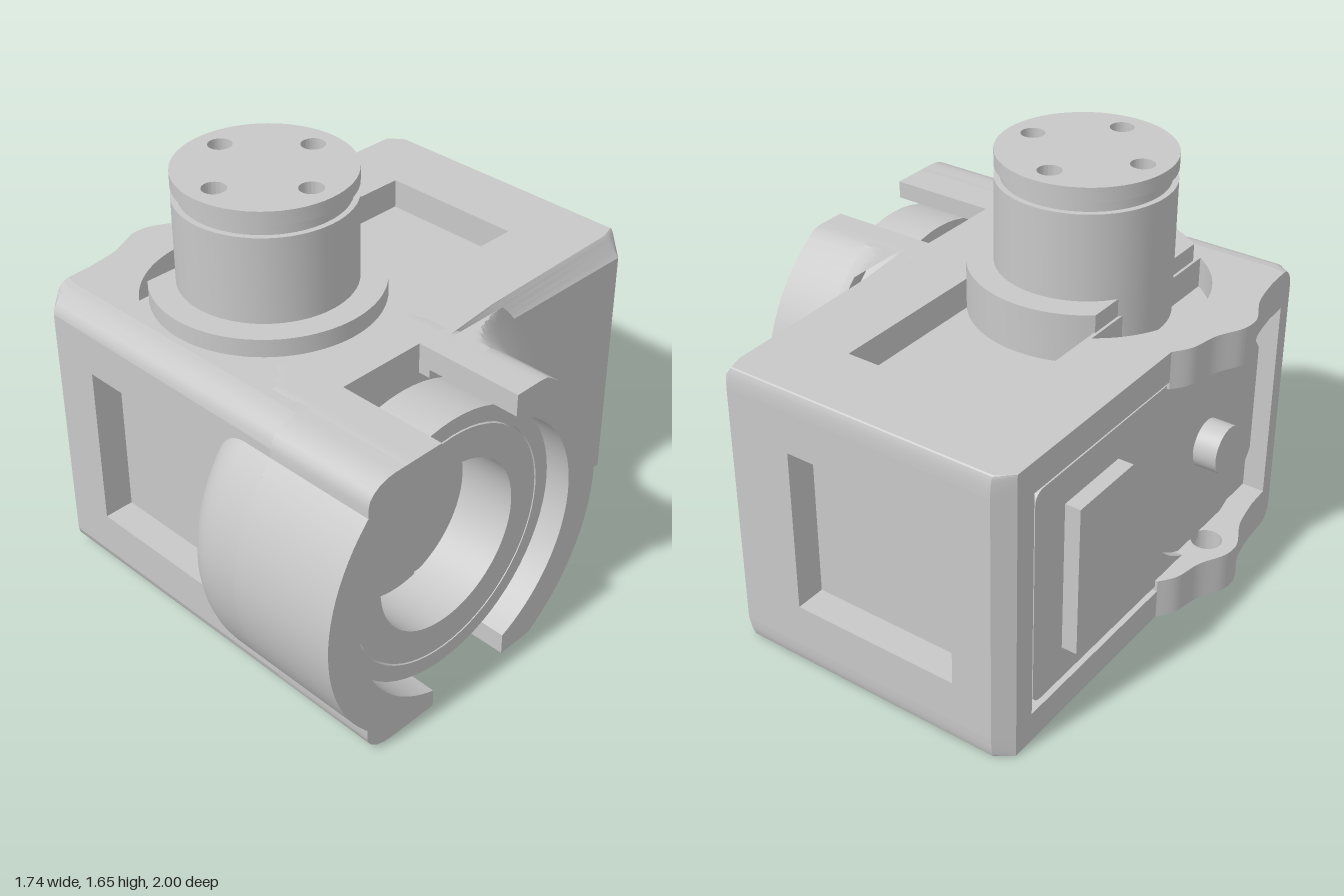
import * as THREE from 'three';
import { toCreasedNormals } from 'three/addons/utils/BufferGeometryUtils.js';

const H = 1.15, MID = 0.575;          // housing height and its middle
const AZ = 0.325, R = 0.675;          // barrel axis z and outer radius
const TX = -0.19, TZ = 0.25;          // tower centre

export function createModel() {
  const model = new THREE.Group();
  const grey = new THREE.MeshStandardMaterial({ color: 0xc8c8c8, side: THREE.DoubleSide });
  grey.name = 'plain grey';

  const add = (name, geo) => {
    const mesh = new THREE.Mesh(toCreasedNormals(geo, 0.5), grey);
    mesh.name = name;
    model.add(mesh);
  };
  const poly = (pts) => new THREE.Shape(pts.map(([a, b]) => new THREE.Vector2(a, b)));
  const rect = (a0, a1, b0, b1) => poly([[a0, b0], [a1, b0], [a1, b1], [a0, b1]]);
  const circle = (a, b, r) => new THREE.Shape().absarc(a, b, r, 0, Math.PI * 2);
  const cut = (shape, ...holes) => { shape.holes.push(...holes); return shape; };
  const extrude = (shape, depth) =>
    new THREE.ExtrudeGeometry(shape, { depth, bevelEnabled: false, curveSegments: 32 });
  // Prisms along y from an (x, z) shape, along x from a (z, y) shape, along z from an (x, y) shape
  const alongY = (s, y0, y1) => extrude(s, y1 - y0).rotateX(Math.PI / 2).translate(0, y1, 0);
  const alongX = (s, x0, x1) => extrude(s, x1 - x0).rotateY(-Math.PI / 2).translate(x1, 0, 0);
  const alongZ = (s, z0, z1) => extrude(s, z1 - z0).translate(0, 0, z0);
  const clampY = (geo) => {
    const p = geo.attributes.position;
    for (let i = 0; i < p.count; i++) {
      p.setY(i, THREE.MathUtils.clamp(p.getY(i), -MID, MID));
    }
    return geo.translate(0, MID, AZ);
  };

  // Core, whose faces form the floors of the pockets
  add('housingCore', new THREE.BoxGeometry(1.12, 0.91, 1.58).translate(-0.13, MID, -0.09));

  // Walls with rectangular pockets
  add('frontWall', alongZ(cut(rect(-0.72, 0.43, 0.08, 1.07), rect(-0.52, 0.14, 0.25, 0.905)), 0.70, 0.82));
  add('backWall', alongZ(cut(rect(-0.68, 0.42, 0.08, 1.07), rect(-0.52, 0.16, 0.25, 0.905)), -1, -0.88));
  add('rightWall', alongX(rect(-0.94, -0.2, 0.08, 1.07), 0.43, 0.48));
  add('leftRim', alongX(poly([[-0.94, 0.08], [-0.04, 0.08], [-0.04, 0.12], [-0.85, 0.12],
    [-0.85, 1.03], [-0.04, 1.03], [-0.04, 1.07], [-0.94, 1.07]]), -0.74, -0.69));

  // Chamfered corner posts
  add('frontCornerPost', alongY(poly([[-0.78, 0.70], [-0.78, 0.76], [-0.72, 0.82], [-0.69, 0.82], [-0.69, 0.70]]), 0.08, 1.07));
  add('backCornerPost', alongY(poly([[-0.74, -0.94], [-0.68, -1], [-0.68, -0.88], [-0.74, -0.88]]), 0.08, 1.07));
  add('backCornerPost', alongY(poly([[0.48, -0.94], [0.42, -1], [0.42, -0.88], [0.48, -0.88]]), 0.08, 1.07));

  // Edge bands between walls and plates: rounded at the front, chamfered on the right
  const outer = [[-0.78, 0.70], [-0.78, 0.76], [-0.72, 0.82], [0.43, 0.82], [0.43, 0.12], [0.48, 0.12],
    [0.48, -0.25], [0.48, -0.94], [0.42, -1], [-0.68, -1], [-0.74, -0.94], [-0.74, -0.04], [-0.69, -0.04], [-0.69, 0.70]];
  const inner = [[-0.78, 0.69], [-0.78, 0.70], [-0.72, 0.71], [0.43, 0.70], [0.43, 0.12], [0.48, 0.12],
    [0.44, -0.25], [0.42, -0.92], [0.40, -0.985], [-0.68, -0.985], [-0.74, -0.94], [-0.74, -0.04], [-0.69, -0.04], [-0.69, 0.69]];
  const edgeBand = (top) => {
    const n = outer.length, steps = 5, pos = [], idx = [];
    for (let k = 0; k <= steps; k++) {
      const a = (k / steps) * Math.PI / 2, up = 1.07 + 0.08 * Math.sin(a);
      outer.forEach(([x, z], i) => pos.push(
        x + (inner[i][0] - x) * Math.sin(a), top ? up : H - up, z + (inner[i][1] - z) * (1 - Math.cos(a))));
    }
    for (let k = 0; k < steps; k++) {
      for (let i = 0; i < n; i++) {
        const a = k * n + i, b = k * n + (i + 1) % n, c = a + n, d = b + n;
        if (top) idx.push(a, b, d, a, d, c);
        else idx.push(a, d, b, a, c, d);
      }
    }
    const geo = new THREE.BufferGeometry();
    geo.setAttribute('position', new THREE.Float32BufferAttribute(pos, 3));
    geo.setIndex(idx);
    return geo;
  };
  add('topEdge', edgeBand(true));
  add('bottomEdge', edgeBand(false));

  // Top plate with a pocket and a crescent opening beside the tower; bottom plate with a long pocket
  const crescent = new THREE.Shape().absarc(-0.215, TZ, 0.45, 2.175, Math.PI * 2 - 2.175);
  add('topPlate', alongY(cut(poly(inner), rect(-0.455, 0.14, -0.69, 0), crescent), 1.03, H));
  add('bottomPlate', alongY(cut(poly(inner), rect(-0.455, 0.14, -0.69, 0.43)), 0, 0.12));

  // Side ears, the lower one drilled
  const ear = () => {
    const s = new THREE.Shape();
    s.moveTo(-0.69, -0.04);
    s.lineTo(-0.74, -0.04);
    s.splineThru([[-0.785, 0.03], [-0.81, 0.14], [-0.86, 0.24], [-0.87, 0.30], [-0.86, 0.35],
      [-0.81, 0.46], [-0.785, 0.60]].map(([x, z]) => new THREE.Vector2(x, z)));
    s.lineTo(-0.78, 0.70);
    s.lineTo(-0.69, 0.70);
    return s;
  };
  add('upperEar', alongY(ear(), 1.0, H));
  add('lowerEar', alongY(cut(ear(), circle(-0.757, 0.29, 0.06)), 0, 0.165));

  // Left face fittings: raised cover ending at the round disc, plate and pin
  const cover = new THREE.Shape();
  cover.moveTo(-0.78, 0.14);
  cover.absarc(AZ, MID, 0.445, Math.PI * 1.44, Math.PI * 0.56, true);
  cover.lineTo(-0.78, 1.01);
  cover.quadraticCurveTo(-0.83, 1.01, -0.83, 0.96);
  cover.lineTo(-0.83, 0.19);
  cover.quadraticCurveTo(-0.83, 0.14, -0.78, 0.14);
  add('sideCover', alongX(cover, -0.73, -0.69));
  add('sidePlate', new THREE.BoxGeometry(0.08, 0.6, 0.32).translate(-0.75, MID, -0.5));
  add('sideDisc', alongX(circle(AZ, MID, 0.44), -0.705, -0.69));
  add('sidePin', alongX(circle(AZ, MID, 0.095), -0.80, -0.69));

  // Barrel root with a rounded end, flattened at top and bottom
  const rootProfile = [new THREE.Vector2(0, 0.14)];
  for (let i = 0; i <= 8; i++) {
    const a = (i / 8) * Math.PI / 2;
    rootProfile.push(new THREE.Vector2(R - 0.16 + 0.16 * Math.sin(a), 0.30 - 0.16 * Math.cos(a)));
  }
  rootProfile.push(new THREE.Vector2(R, 0.43), new THREE.Vector2(0, 0.43));
  add('barrelRoot', clampY(new THREE.LatheGeometry(rootProfile, 96).rotateZ(-Math.PI / 2)));

  // Two shell halves separated by the top and bottom slots
  const shellHalf = (dir, gap) => {
    const pts = [], n = 40;
    const arc = (r, from, to) => {
      const end = Math.acos(gap / r);
      for (let i = 0; i <= n; i++) {
        const a = end * (from + (to - from) * i / n);
        pts.push([AZ + dir * r * Math.cos(a), MID + THREE.MathUtils.clamp(r * Math.sin(a), -MID, MID)]);
      }
    };
    arc(R, -1, 1);
    arc(0.53, 1, -1);
    return alongX(poly(pts), 0.43, 0.87);
  };
  add('frontShell', shellHalf(1, 0.165));
  add('rearShell', shellHalf(-1, 0.205));

  // Rounded housing edges carried along the barrel to its open end
  for (const s of [1, -1]) {
    const pts = [[0.60, MID + s * 0.54], [0.79, MID + s * 0.44], [0.82, MID + s * 0.44]];
    for (let i = 0; i <= 5; i++) {
      const a = (i / 5) * Math.PI / 2;
      pts.push([0.70 + 0.12 * Math.cos(a), MID + s * (0.495 + 0.08 * Math.sin(a))]);
    }
    pts.push([0.60, MID + s * MID]);
    add('barrelEdge', alongX(poly(pts), 0.43, 0.87));
  }

  // Concave fairing from the rear body into the barrel
  const flare = [];
  for (let i = 0; i <= 10; i++) {
    const a = (i / 10) * Math.PI / 2;
    flare.push(new THREE.Vector2(0.82 - 0.145 * Math.sin(a), 0.62 - 0.14 * Math.cos(a)));
  }
  add('barrelFairing', clampY(new THREE.LatheGeometry(flare, 64, Math.PI - 1.25, 2.5).rotateZ(-Math.PI / 2)));

  // Bearing inside the barrel
  add('bearingOuterRing', alongX(cut(circle(AZ, MID, 0.53), circle(AZ, MID, 0.467)), 0.54, 0.77));
  add('bearingInnerRing', alongX(cut(circle(AZ, MID, 0.46), circle(AZ, MID, 0.333)), 0.54, 0.77));
  add('bearingSeal', alongX(cut(circle(AZ, MID, 0.468), circle(AZ, MID, 0.459)), 0.56, 0.75));

  // Tower: cut flange, column, groove and drilled cap
  const cutAngle = Math.acos(-0.27 / 0.43);
  const flange = new THREE.Shape().absarc(TX, TZ, 0.43, -cutAngle, cutAngle);
  add('towerFlange', alongY(flange, 1.0, 1.22));
  add('towerColumn', alongY(circle(TX, TZ, 0.33), 1.0, 1.555));
  add('towerGroove', alongY(circle(TX, TZ, 0.308), 1.55, 1.605));
  const holes = [0, 1, 2, 3].map((i) => circle(
    TX + 0.232 * Math.cos(i * Math.PI / 2), TZ + 0.232 * Math.sin(i * Math.PI / 2), 0.045));
  add('towerCap', alongY(cut(circle(TX, TZ, 0.33), ...holes), 1.6, 1.655));

  return model;
}
